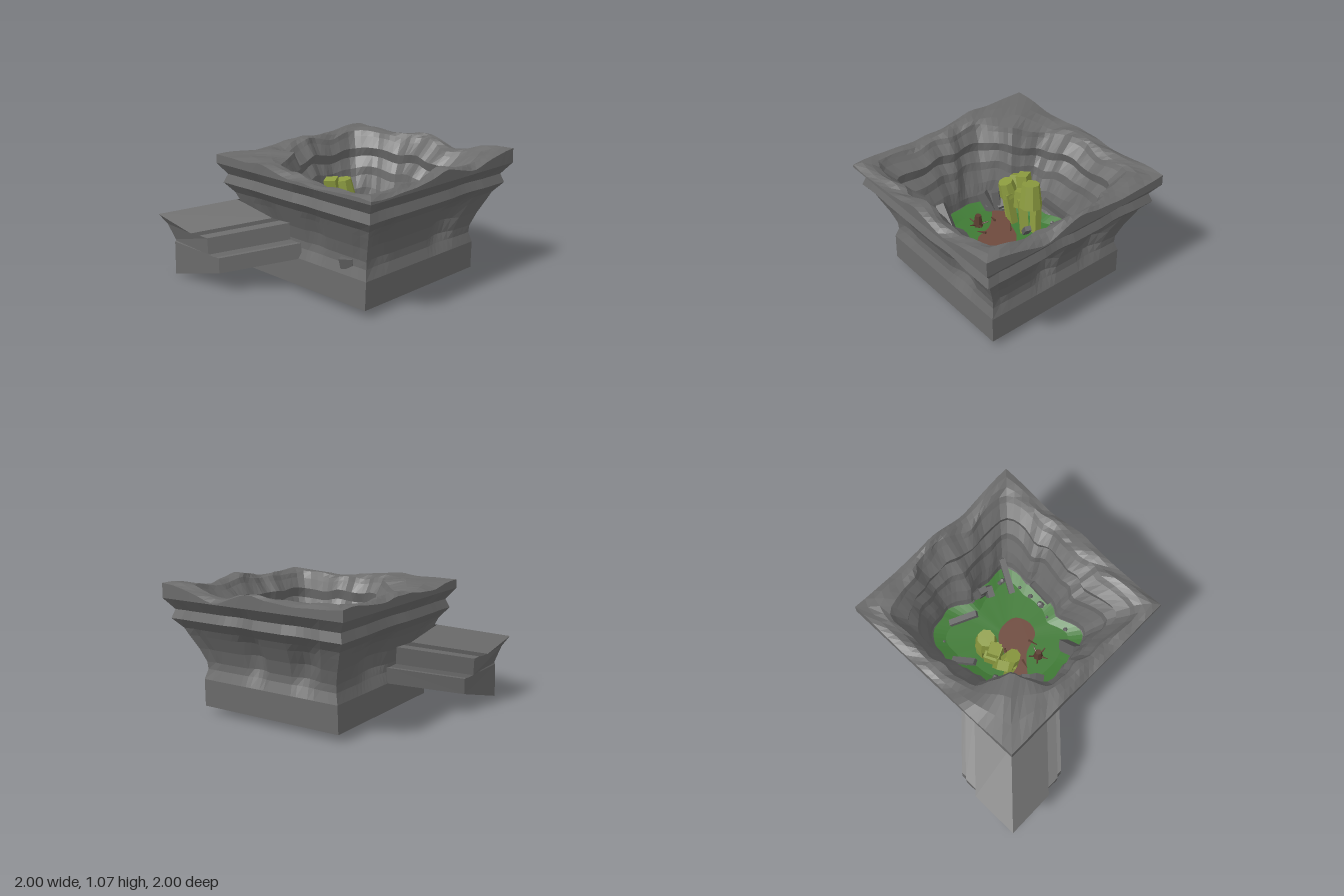
import * as THREE from 'three';

const CX = 0.17, CZ = -0.17, N = 96, FLOOR = 0.31;

const paint = (color) => new THREE.MeshStandardMaterial({ color, flatShading: true, side: THREE.DoubleSide });
const rock = paint(0x6a6a6a), grass = paint(0x3f7a35), dirt = paint(0x6e4a3d);
const moss = paint(0x8b9a3f), wood = paint(0x5a3d30), stone = paint(0x606060);

function seeded(seed) {
  return () => {
    seed = (seed * 16807) % 2147483647;
    return seed / 2147483647;
  };
}

// Skin between rings of points; each ring is an array of Vector3
function loft(rings, closed = true) {
  const pos = [], idx = [], n = rings[0].length;
  rings.forEach((r) => r.forEach((p) => pos.push(p.x, p.y, p.z)));
  for (let j = 0; j < rings.length - 1; j++) {
    for (let i = 0; i < (closed ? n : n - 1); i++) {
      const a = j * n + i, b = j * n + (i + 1) % n;
      idx.push(a, a + n, b, b, a + n, b + n);
    }
  }
  const g = new THREE.BufferGeometry();
  g.setAttribute('position', new THREE.Float32BufferAttribute(pos, 3));
  g.setIndex(idx);
  g.computeVertexNormals();
  return g;
}

function add(parent, name, geometry, material, p = [0, 0, 0], r = [0, 0, 0], s = [1, 1, 1]) {
  const m = new THREE.Mesh(geometry, material);
  m.name = name;
  m.position.set(...p);
  m.rotation.set(...r);
  m.scale.set(...s);
  parent.add(m);
}

// Values every 22.5 degrees, from +x towards +z: crater rim radius, floor radius, rim height
const RIM = [0.67, 0.76, 0.96, 0.77, 0.69, 0.68, 0.57, 0.65, 0.71, 0.74, 0.9, 0.76, 0.75, 0.76, 0.93, 0.79];
const BASE = [0.45, 0.41, 0.58, 0.52, 0.5, 0.5, 0.42, 0.43, 0.43, 0.53, 0.62, 0.55, 0.41, 0.48, 0.6, 0.47];
const CREST = [1.03, 0.98, 0.97, 0.965, 0.98, 1.02, 1.025, 0.98, 1.03, 1.0, 1.035, 1.01, 1.045, 0.97, 1.06, 0.99];
function lookup(table, a) {
  const t = (a / (2 * Math.PI)) * 16, i = Math.floor(t) % 16, f = t - Math.floor(t);
  const s = f * f * (3 - 2 * f);
  return table[i] * (1 - s) + table[(i + 1) % 16] * s;
}
const polar = (a, r, y) => new THREE.Vector3(CX + Math.cos(a) * r, y, CZ + Math.sin(a) * r);
const ring = (fn) => Array.from({ length: N }, (_, i) => fn((i / N) * 2 * Math.PI));
const squareR = (a, half) => half / Math.max(Math.abs(Math.cos(a)), Math.abs(Math.sin(a)));
const wave = (a, k) => 0.5 * Math.sin(7 * a + k) + 0.3 * Math.sin(13 * a + 2.3 * k) + 0.2 * Math.sin(23 * a + k);

// Stepped cliff block: outside wall, jagged rim, terraced crater wall
function cliffGeometry() {
  // half width, height, depth of the weathered hollows
  const outside = [[0.635, 0.06, 0], [0.632, 0.28, 0], [0.608, 0.36, 0.02], [0.612, 0.42, 0.05], [0.65, 0.53, 0.08],
    [0.7, 0.64, 0.07], [0.725, 0.7, 0.04], [0.79, 0.78, 0.02], [0.765, 0.85, 0.02], [0.83, 0.94, 0]];
  // fraction of the way from rim to floor, height
  const inside = [[0, 0.98], [0.1, 0.94], [0.38, 0.86], [0.31, 0.78], [0.54, 0.7], [0.58, 0.63],
    [0.76, 0.53], [0.88, 0.43], [0.9, 0.36], [1.05, FLOOR - 0.01]];
  const rings = [ring((a) => polar(a, 0.001, 0.06))];
  outside.forEach(([half, y, dent]) => rings.push(ring((a) => {
    const c = Math.cos(a), s = Math.sin(a), onX = Math.abs(c) > Math.abs(s);
    const v = (onX ? s : c) / Math.max(Math.abs(c), Math.abs(s));
    const depth = !onX && s > 0 ? dent * 0.4 : dent;
    const hollow = depth * (1 - v ** 4) * (0.25 + 0.75 * Math.max(0, Math.sin(5 * v + 4 * c)));
    const p = polar(a, squareR(a, half), y), lean = (0.94 - y) / 0.88;
    if (onX) p.x -= Math.sign(c) * hollow;
    else p.z -= Math.sign(s) * hollow;
    p.x -= 0.012 * lean;
    p.z += 0.018 * lean;
    return p;
  })));
  rings.push(ring((a) => polar(a, squareR(a, 0.828), lookup(CREST, a) - 0.01 + 0.015 * wave(a, 1))));
  [0.35, 0.7].forEach((t, k) => rings.push(ring((a) => {
    const outer = squareR(a, 0.828), inner = Math.min(lookup(RIM, a), outer - 0.05);
    return polar(a, outer + (inner - outer) * t, lookup(CREST, a) + 0.02 * wave(a, 2 + k));
  })));
  inside.forEach(([t, y], k) => rings.push(ring((a) => {
    const outer = Math.min(lookup(RIM, a), squareR(a, 0.828) - 0.05), foot = lookup(BASE, a);
    const rough = 0.035 * wave(a, 1 + k * 0.2) * (t < 0.8 ? 1 : 0.3);
    const lift = t < 1 ? 0.02 * wave(a, 4 + k * 0.2) + (lookup(CREST, a) - 1) * (1 - t) : 0;
    return polar(a, outer + (foot - outer) * t + rough, y + lift);
  })));
  return loft(rings);
}

// Sloping stepped spur on the front right corner, symmetric about the diagonal
function buildSpur(group) {
  const V = (x, y, z) => new THREE.Vector3(x, y, z);
  const nose = [[1, 0.515], [0.955, 0.44], [0.95, 0.43], [0.91, 0.3], [0.91, 0.29], [0.915, 0.28], [0.92, 0]]
    .map(([s, y]) => V(-s, y, s));
  const side = [[-0.59, 0.445, 0.99], [-0.55, 0.425, 0.945], [-0.44, 0.43, 0.945], [-0.44, 0.295, 0.94],
    [-0.4, 0.275, 0.91], [-0.35, 0.28, 0.91], [-0.35, 0.155, 0.91]].map((p) => V(...p));
  const flip = side.map((p) => V(-p.z, p.y, -p.x));
  const outline = [nose[0], ...side, nose[nose.length - 1], ...flip.slice().reverse()];
  const inner = outline.map((p) => V(p.x + 0.45, p.y + 0.125, p.z - 0.45));
  add(group, 'spurBody', loft([inner, outline]), rock);
  add(group, 'spurEnd', loft([flip, nose, side], false), rock);
}

// Mossy blocky giant slumped against the crater wall
function buildGiant(parent) {
  const g = new THREE.Group();
  g.name = 'mossyGiant';
  parent.add(g);
  const block = new THREE.BoxGeometry(1, 1, 1), lump = new THREE.CylinderGeometry(0.42, 0.55, 1, 8);
  add(g, 'torso', lump, moss, [-0.07, 0.66, -0.19], [0.1, 0.3, 0.1], [0.17, 0.2, 0.17]);
  add(g, 'hips', block, moss, [-0.09, 0.57, -0.09], [0, 0.4, 0.1], [0.13, 0.15, 0.12]);
  add(g, 'head', block, moss, [-0.1, 0.73, -0.07], [0.2, 0.5, 0], [0.1, 0.1, 0.09]);
  add(g, 'shoulder', lump, moss, [-0.03, 0.62, 0.05], [0.2, 0.2, -0.2], [0.15, 0.13, 0.14]);
  add(g, 'arm', block, moss, [-0.12, 0.6, 0.02], [0.3, 0.6, 0.2], [0.08, 0.22, 0.09]);
  [[-0.1, -0.22], [-0.03, -0.15], [-0.05, 0.06], [-0.02, 0]].forEach(([x, z], i) =>
    add(g, 'limb', block, moss, [x, 0.45, z], [0.1, i, 0.1], [0.06, 0.3, 0.07]));
}

export function createModel() {
  const group = new THREE.Group();
  add(group, 'cliff', cliffGeometry(), rock);
  buildSpur(group);

  // Grass floor with a slight rise at the wall
  add(group, 'grassFloor', loft([
    ring((a) => polar(a, lookup(BASE, a) * 1.06, FLOOR + 0.05)),
    ring((a) => polar(a, lookup(BASE, a) * 0.85, FLOOR + 0.015)),
    ring((a) => polar(a, 0.001, FLOOR)),
  ]), grass);

  // Dirt clearing and its path
  const path = new THREE.Shape();
  path.moveTo(-0.2, 0.14);
  path.lineTo(0.02, -0.04);
  path.splineThru([[0.08, -0.2], [0.18, -0.27], [0.32, -0.26], [0.38, -0.15], [0.34, -0.03], [0.18, 0.03], [0.08, 0.12]]
    .map(([x, z]) => new THREE.Vector2(x, z)));
  path.lineTo(-0.03, 0.26);
  add(group, 'dirtPath', new THREE.ShapeGeometry(path), dirt, [0, FLOOR + 0.025, 0], [Math.PI / 2, 0, 0]);

  buildGiant(group);

  // Fallen stone beams leaning on the walls: position, turn, tilt, length
  const beam = new THREE.BoxGeometry(1, 0.04, 0.05);
  [[0.52, 0.46, -0.53, 1.1, 0.5, 0.3], [0.0, 0.43, -0.53, -0.6, 0.4, 0.25], [-0.27, 0.47, -0.25, -1.1, 0.5, 0.22],
    [0.61, 0.45, -0.22, 1.6, 0.4, 0.22], [0.02, 0.39, -0.25, 1.2, 0.9, 0.12]].forEach(([x, y, z, turn, tilt, len]) =>
    add(group, 'stoneBeam', beam, stone, [x, y, z], [0, turn, tilt], [len, 1, 1]));

  // Broken slabs and rubble along the foot of the wall
  const rand = seeded(11), boulder = new THREE.DodecahedronGeometry(1, 0), slab = new THREE.BoxGeometry(1, 1, 1);
  [[0.28, -0.59], [0.24, -0.63], [0.33, -0.56], [0.03, 0.25], [-0.04, 0.2], [0.0, 0.27], [-0.09, 0.22],
    [0.43, 0.28]].forEach(([x, z]) =>
    add(group, 'brokenSlab', slab, stone, [x, 0.4, z], [rand() * 0.7, rand() * 3, rand() * 0.7],
      [0.05 + rand() * 0.05, 0.12 + rand() * 0.12, 0.05 + rand() * 0.04]));
  for (let i = 0; i < 14; i++) {
    const a = rand() * Math.PI * 2, s = 0.012 + rand() * 0.02, p = polar(a, lookup(BASE, a) * 0.88, FLOOR + 0.03);
    add(group, 'rubble', boulder, stone, p.toArray(), [rand() * 3, rand() * 3, 0], [s, s, s]);
  }
  // Boulder that breaks through the front wall
  add(group, 'wallBoulder', slab, stone, [0.57, 0.37, 0.42], [0.2, 0.3, 0.05], [0.11, 0.08, 0.1]);

  // Stump with roots, and loose sticks
  const stump = new THREE.Group();
  stump.name = 'stump';
  stump.position.set(0.22, FLOOR + 0.01, 0.12);
  group.add(stump);
  add(stump, 'trunk', new THREE.CylinderGeometry(0.025, 0.04, 0.1, 7), wood, [0, 0.05, 0]);
  const stick = new THREE.CylinderGeometry(0.004, 0.011, 0.08, 5);
  for (let i = 0; i < 5; i++) {
    const a = (i / 5) * Math.PI * 2;
    add(stump, 'root', stick, wood, [Math.cos(a) * 0.045, 0.02, -Math.sin(a) * 0.045], [0, a, -1.2]);
  }
  [[0.05, -0.09], [0.09, 0.09], [0.27, 0.01]].forEach(([x, z], i) =>
    add(group, 'stick', stick, wood, [x, FLOOR + 0.03, z], [1.3, i * 1.1, 0.6]));
  return group;
}
